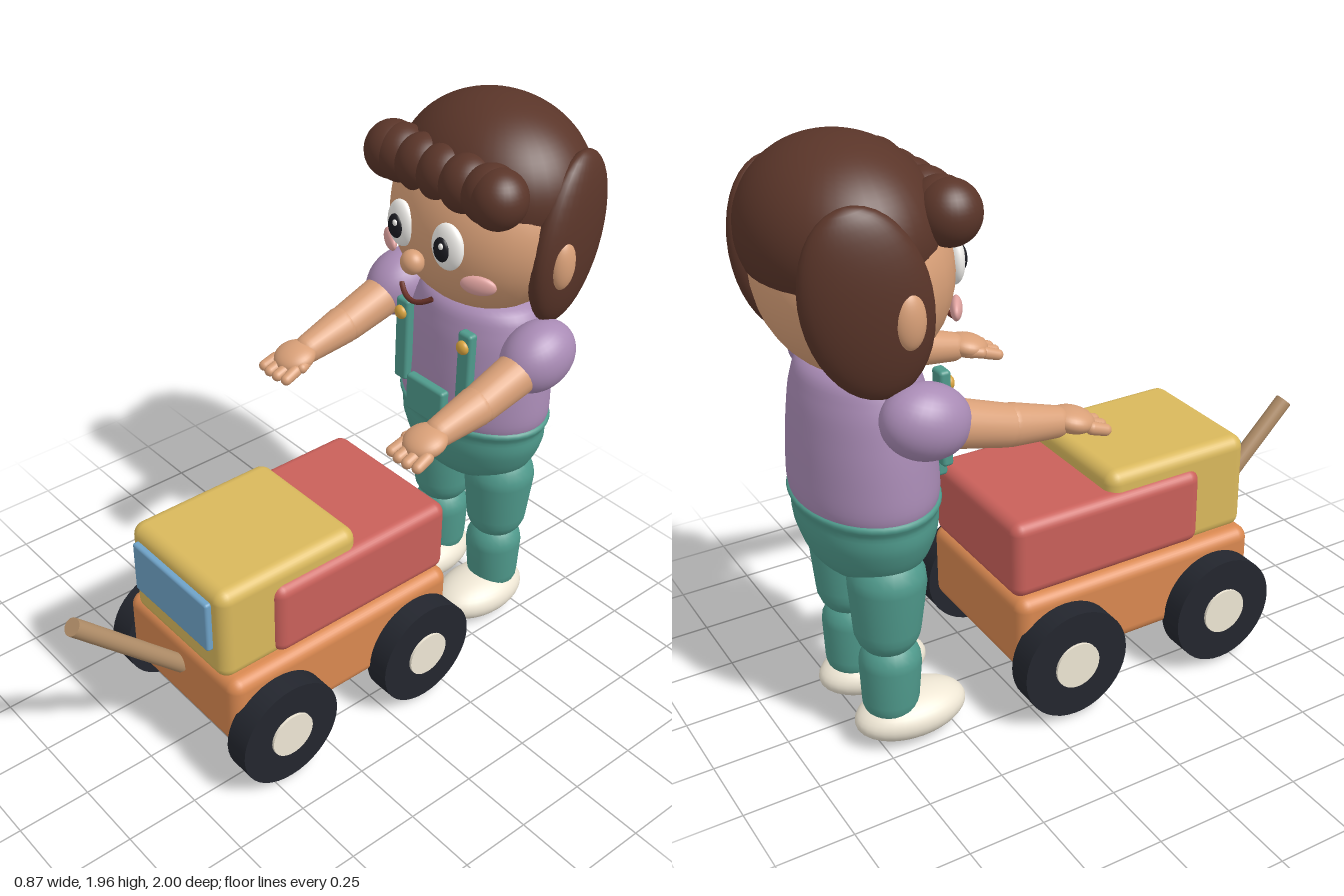
import * as THREE from 'three';
import { RoundedBoxGeometry } from 'three/addons/geometries/RoundedBoxGeometry.js';

const V = (x, y, z) => new THREE.Vector3(x, y, z);
const mat = (color) => new THREE.MeshStandardMaterial({ color, side: THREE.DoubleSide });
const M = {
  skin: mat(0xd9a078), hair: mat(0x5a3529), shirt: mat(0xa98bb5), green: mat(0x4f9a8c),
  cream: mat(0xeee6d4), white: mat(0xf4f2ee), black: mat(0x1a1a20), pink: mat(0xe0a3a0),
  mouth: mat(0x6b3329), gold: mat(0xd9a440), orange: mat(0xd98850), red: mat(0xc9605a),
  yellow: mat(0xd9b85c), glass: mat(0x6fa3c8), tire: mat(0x23262e), wood: mat(0xb08d68),
};

export function createModel() {
  const model = new THREE.Group();
  const cart = new THREE.Group();
  const child = new THREE.Group();
  cart.name = 'toyCart';
  child.name = 'child';
  model.add(cart, child);

  function add(parent, name, geo, material, pos = [0, 0, 0], rot = [0, 0, 0]) {
    const m = new THREE.Mesh(geo, material);
    m.name = name;
    m.position.set(...pos);
    m.rotation.set(...rot);
    parent.add(m);
    return m;
  }
  // Ellipsoid given by centre and three radii
  function ball(name, material, pos, radii, rot) {
    const geo = new THREE.SphereGeometry(1, 32, 20).scale(...radii);
    return add(child, name, geo, material, pos, rot);
  }
  // Rounded box given by its lower and upper corners
  function box(parent, name, material, a, b, r) {
    const size = a.map((v, i) => b[i] - v);
    return add(parent, name, new RoundedBoxGeometry(...size, 4, r), material, a.map((v, i) => (v + b[i]) / 2));
  }
  // Tapered limb with rounded ends; r0 at a, r1 at b
  function limb(parent, name, material, a, b, r0, r1, round = true) {
    const len = a.distanceTo(b);
    const pts = [];
    if (round) {
      for (let i = 0; i <= 6; i++) {
        const t = (i / 6) * Math.PI / 2;
        pts.push(new THREE.Vector2(r0 * Math.sin(t), -r0 * Math.cos(t)));
      }
      for (let i = 0; i <= 6; i++) {
        const t = (i / 6) * Math.PI / 2;
        pts.push(new THREE.Vector2(r1 * Math.cos(t), len + r1 * Math.sin(t)));
      }
    }
    const geo = round ? new THREE.LatheGeometry(pts, 24)
      : new THREE.CylinderGeometry(r1, r0, len, 24).translate(0, len / 2, 0);
    const m = add(parent, name, geo, material, a.toArray());
    m.quaternion.setFromUnitVectors(V(0, 1, 0), b.clone().sub(a).normalize());
    return m;
  }

  // Cart body, cab, window and pull handle
  box(cart, 'cartBase', M.orange, [-0.3, 0.18, -0.31], [0.3, 0.455, 0.61], 0.045);
  box(cart, 'cartBed', M.red, [-0.275, 0.45, -0.31], [0.275, 0.72, 0.41], 0.04);
  box(cart, 'cab', M.yellow, [-0.25, 0.435, 0.06], [0.25, 0.785, 0.61], 0.045);
  box(cart, 'window', M.glass, [-0.2, 0.55, 0.605], [0.2, 0.74, 0.632], 0.01);
  limb(cart, 'pullHandle', M.wood, V(0, 0.345, 0.605), V(0, 0.72, 0.98), 0.03, 0.03, false);

  // Wheels with hubs
  for (const s of [-1, 1]) for (const z of [0.445, -0.145]) {
    const tire = new THREE.CylinderGeometry(0.19, 0.19, 0.09, 40);
    add(cart, 'wheel', tire, M.tire, [s * 0.332, 0.217, z], [0, 0, Math.PI / 2]);
    const hub = new THREE.CylinderGeometry(0.08, 0.08, 0.1, 32);
    add(cart, 'hub', hub, M.cream, [s * 0.336, 0.217, z], [0, 0, Math.PI / 2]);
  }

  // Torso and trouser seat: flattened lathes
  const lathe = (pts) => {
    const curve = new THREE.SplineCurve(pts.map((p) => new THREE.Vector2(...p)));
    return new THREE.LatheGeometry(curve.getPoints(30), 40).scale(1, 1, 0.73);
  };
  add(child, 'shirt', lathe([[0.27, 0.82], [0.295, 0.88], [0.293, 0.98], [0.28, 1.1], [0.255, 1.22], [0.2, 1.3], [0.0, 1.34]]),
    M.shirt, [0, 0, -0.685]);
  add(child, 'trouserSeat', lathe([[0, 0.565], [0.13, 0.59], [0.23, 0.655], [0.28, 0.75], [0.287, 0.82], [0.278, 0.87], [0, 0.88]]),
    M.green, [0, 0, -0.685]);

  // Bib
  box(child, 'bib', M.green, [-0.09, 0.865, -0.475], [0.09, 1.005, -0.437], 0.012);

  for (const s of [-1, 1]) {
    // Straps and buttons
    box(child, 'strap', M.green, [s * 0.15 - 0.03, 0.945, -0.5], [s * 0.15 + 0.03, 1.26, -0.462], 0.012);
    ball('button', M.gold, [s * 0.15, 1.21, -0.46], [0.025, 0.025, 0.018]);

    // Legs and shoes
    limb(child, 'upperLeg', M.green, V(s * 0.14, 0.44, -0.695), V(s * 0.145, 0.6, -0.69), 0.108, 0.124);
    limb(child, 'lowerLeg', M.green, V(s * 0.14, 0.17, -0.697), V(s * 0.14, 0.3, -0.692), 0.092, 0.1);
    ball('shoe', M.cream, [s * 0.14, 0.09, -0.63], [0.12, 0.08, 0.19]);

    // Sleeves and arms
    ball('sleeve', M.shirt, [s * 0.328, 1.2, -0.625], [0.108, 0.115, 0.14], [0.3, 0, 0]);
    limb(child, 'upperArm', M.skin, V(s * 0.328, 1.175, -0.55), V(s * 0.328, 1.12, -0.37), 0.075, 0.066);
    limb(child, 'forearm', M.skin, V(s * 0.328, 1.117, -0.35), V(s * 0.325, 1.085, -0.2), 0.066, 0.05);
    ball('palm', M.skin, [s * 0.325, 1.078, -0.14], [0.073, 0.04, 0.073], [0.25, 0, 0]);
    limb(child, 'thumb', M.skin, V(s * 0.28, 1.075, -0.16), V(s * 0.262, 1.068, -0.12), 0.02, 0.019);
    for (let i = 0; i < 4; i++) {
      const d = (i - 1.5) * 0.036;
      limb(child, 'finger', M.skin, V(s * 0.325 + d, 1.06, -0.1), V(s * 0.325 + d * 1.1, 1.045, -0.045 - Math.abs(d) * 0.2), 0.021, 0.019);
    }

    // Ears, eyes and cheeks
    ball('ear', M.skin, [s * 0.352, 1.525, -0.673], [0.035, 0.087, 0.048]);
    ball('eye', M.white, [s * 0.108, 1.577, -0.41], [0.062, 0.08, 0.03], [0, s * 0.1, 0]);
    ball('pupil', M.black, [s * 0.106, 1.575, -0.385], [0.032, 0.042, 0.018]);
    ball('eyeGlint', M.white, [s * 0.106 + 0.012, 1.595, -0.369], [0.009, 0.011, 0.006]);
    ball('cheek', M.pink, [s * 0.207, 1.465, -0.455], [0.06, 0.033, 0.018], [0, s * 0.5, 0]);

    // Side locks
    ball('sideHair', M.hair, [s * 0.285, 1.565, -0.765], [0.076, 0.29, 0.185], [-0.18, s * 0.22, 0]);
  }

  // Head, nose and mouth
  ball('head', M.skin, [0, 1.572, -0.68], [0.34, 0.315, 0.285]);
  ball('nose', M.skin, [0, 1.495, -0.363], [0.041, 0.041, 0.038]);
  const smile = new THREE.QuadraticBezierCurve3(V(-0.072, 1.383, -0.388), V(0, 1.325, -0.345), V(0.072, 1.383, -0.388));
  add(child, 'mouth', new THREE.TubeGeometry(smile, 20, 0.009, 8), M.mouth);

  // Hair cap and rolled fringe
  const cap = new THREE.SphereGeometry(1, 40, 24, 0, Math.PI * 2, 0, Math.PI * 0.62).scale(0.34, 0.27, 0.286);
  add(child, 'hairCap', cap, M.hair, [0, 1.697, -0.713]);
  for (const x of [-0.24, -0.2, -0.1, 0, 0.1, 0.2, 0.24]) {
    ball('fringe', M.hair, [x, 1.765, -0.49 + (Math.abs(x) > 0.21 ? 0.006 : 0)], [0.092, 0.097, 0.095]);
  }
  return model;
}
